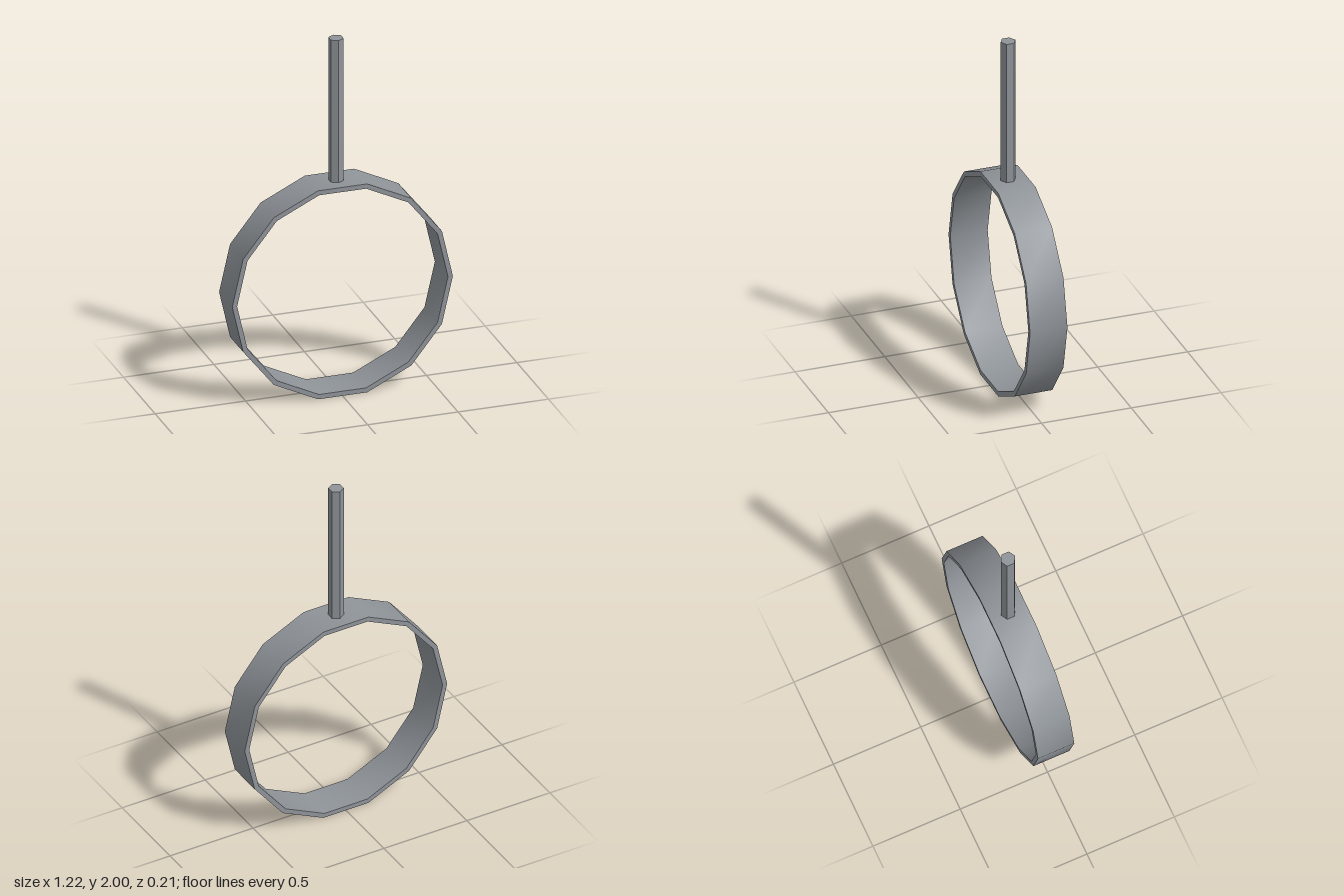
import * as THREE from 'three';
import { toCreasedNormals } from 'three/addons/utils/BufferGeometryUtils.js';

export function createModel() {
  const model = new THREE.Group();
  const metal = new THREE.MeshStandardMaterial({ color: 0x8f9499 });
  metal.name = 'grey metal';

  const sides = 14;
  const outer = 0.61, inner = 0.583, halfDepth = 0.104;
  const apothem = outer * Math.cos(Math.PI / sides);

  // Band: rectangular section swept round, smooth walls with sharp rims
  const section = [
    [outer, -halfDepth], [outer, halfDepth],
    [inner, halfDepth], [inner, -halfDepth], [outer, -halfDepth],
  ].map(([r, y]) => new THREE.Vector2(r, y));
  const bandGeometry = toCreasedNormals(
    new THREE.LatheGeometry(section, sides, Math.PI / 2), 0.7);
  bandGeometry.rotateX(Math.PI / 2);
  const band = new THREE.Mesh(bandGeometry, metal);
  band.name = 'ring';
  band.position.y = apothem;
  model.add(band);

  // Hexagonal rod standing on the top flat of the band
  const rodBottom = apothem * 2, rodHeight = 2 - rodBottom;
  const rodGeometry = toCreasedNormals(
    new THREE.CylinderGeometry(0.041, 0.041, rodHeight, 6), 0.5);
  const rod = new THREE.Mesh(rodGeometry, metal);
  rod.name = 'rod';
  rod.position.y = rodBottom + rodHeight / 2;
  model.add(rod);

  return model;
}
